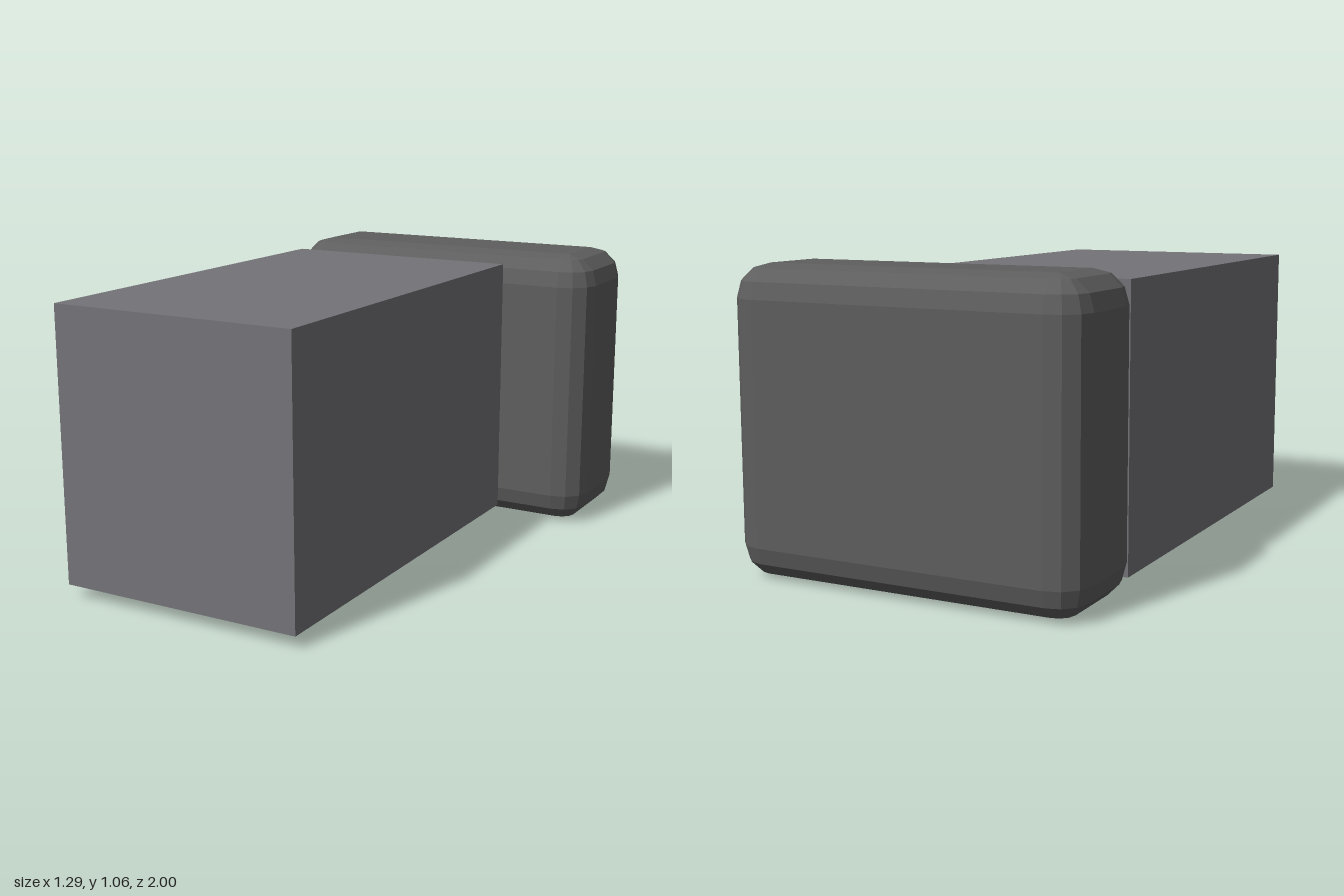
import * as THREE from 'three';
import { ConvexGeometry } from 'three/addons/geometries/ConvexGeometry.js';

// Box with faceted rounded edges: hull of eight sphere octants, one per corner
function softBox(w, h, d, r, steps) {
  const points = [];
  for (const sx of [-1, 1]) for (const sy of [-1, 1]) for (const sz of [-1, 1]) {
    for (let i = 0; i <= steps; i++) {
      const lat = (i / steps) * Math.PI / 2;
      const columns = i === steps ? 0 : steps; // a single point at the pole
      for (let j = 0; j <= columns; j++) {
        const lon = (j / steps) * Math.PI / 2;
        points.push(new THREE.Vector3(
          sx * (w / 2 - r + r * Math.cos(lat) * Math.cos(lon)),
          sy * (h / 2 - r + r * Math.sin(lat)),
          sz * (d / 2 - r + r * Math.cos(lat) * Math.sin(lon))
        ));
      }
    }
  }
  return new ConvexGeometry(points);
}

export function createModel() {
  const group = new THREE.Group();

  const add = (name, geometry, color, x, y, z) => {
    const material = new THREE.MeshStandardMaterial({ color, flatShading: true });
    const mesh = new THREE.Mesh(geometry, material);
    mesh.name = name;
    mesh.position.set(x, y, z);
    group.add(mesh);
  };

  // Rounded slab at the back
  add('backSlab', softBox(1.29, 1.06, 0.465, 0.115, 3), 0x5e5e5e, 0, 0.53, -0.7675);

  // Long sharp-edged block in front, offset to the model's right
  add('frontBlock', new THREE.BoxGeometry(0.915, 0.975, 1.53), 0x737378, -0.15, 0.5325, 0.235);

  return group;
}
